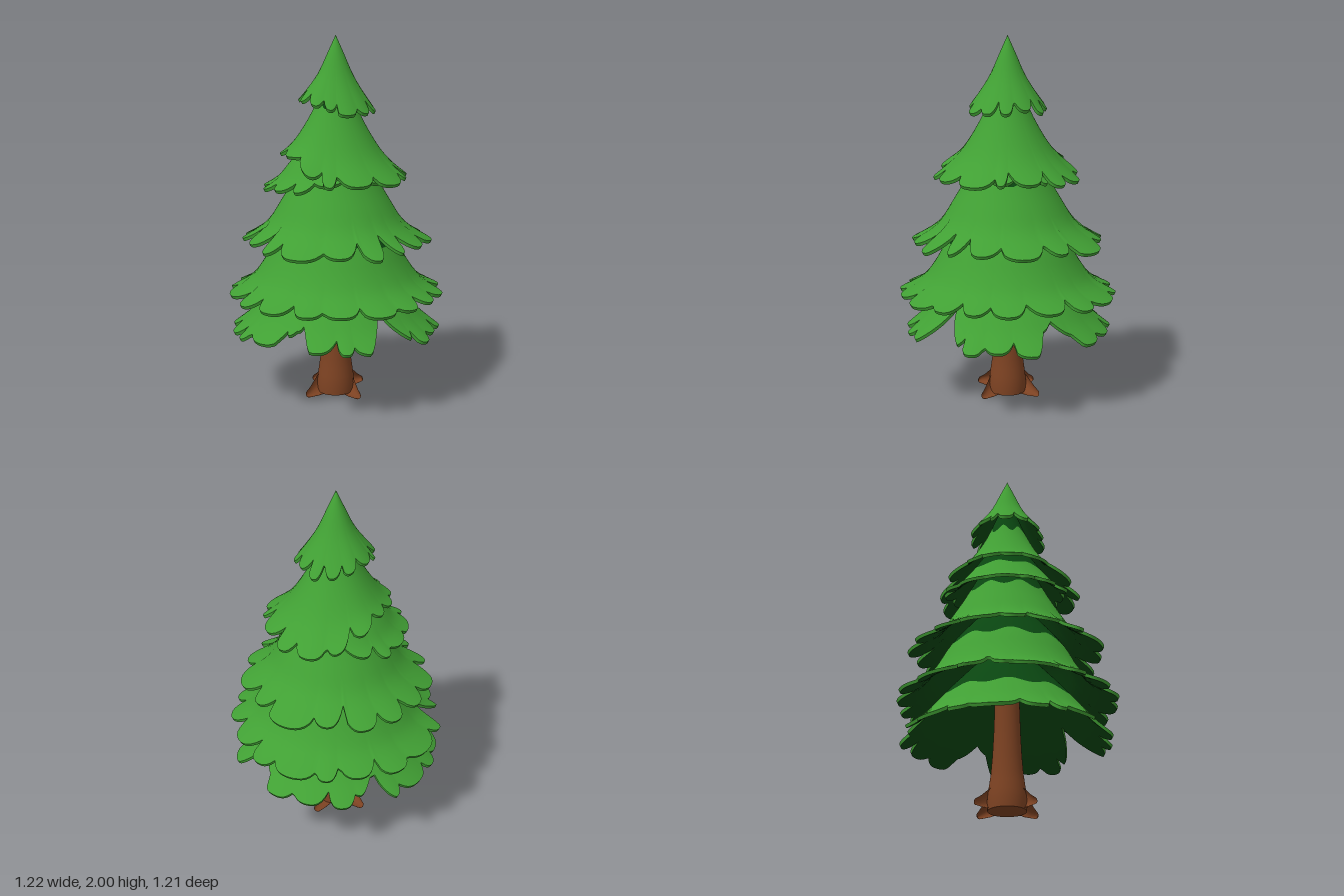
import * as THREE from 'three';

const TAU = Math.PI * 2;
const leaf = new THREE.MeshStandardMaterial({ name: 'leaf green', color: 0x41a034 });
const shade = new THREE.MeshStandardMaterial({ name: 'deep green', color: 0x0a4611 });
const bark = new THREE.MeshStandardMaterial({ name: 'bark brown', color: 0x7d4222 });

// Foliage tiers. profile: (radius, height) from the core out to the hem; dark: share of the
// top painted deep green; tilt / lift: shorten and raise the back left; tuck: shorten the
// front right; gaps: splits as [degrees from +x towards +z, depth, half width in degrees].
const tiers = [
  { name: 'crownTier', petals: 13, depth: 0.15, dark: 0, tilt: 0.07, lift: 0.04, tuck: 0, seed: 3, gaps: [],
    profile: [[0, 2], [0.045, 1.9], [0.093, 1.79], [0.15, 1.695], [0.225, 1.59]] },
  { name: 'upperTier', petals: 14, depth: 0.15, dark: 0.18, tilt: 0.22, lift: 0.08, tuck: 0, seed: 8, gaps: [],
    profile: [[0.06, 1.75], [0.13, 1.58], [0.22, 1.42], [0.3, 1.32], [0.41, 1.23]] },
  { name: 'shoulderTier', petals: 15, depth: 0.16, dark: 0.3, tilt: 0, lift: 0, tuck: 0.25, seed: 12, gaps: [],
    profile: [[0.12, 1.5], [0.2, 1.38], [0.26, 1.3], [0.32, 1.23], [0.4, 1.18]] },
  { name: 'middleTier', petals: 16, depth: 0.15, dark: 0.27, tilt: 0.03, lift: 0, tuck: 0, seed: 21, gaps: [[90, 0.1, 8]],
    profile: [[0.13, 1.42], [0.22, 1.24], [0.3, 1.1], [0.39, 0.97], [0.55, 0.87]] },
  { name: 'lowerTier', petals: 18, depth: 0.15, dark: 0.26, tilt: 0, lift: 0, tuck: 0, seed: 34, gaps: [[228, 0.22, 9]],
    profile: [[0.2, 1.05], [0.32, 0.9], [0.4, 0.76], [0.48, 0.66], [0.61, 0.59]] },
  { name: 'skirtTier', petals: 20, depth: 0.16, dark: 0.41, tilt: 0, lift: 0, tuck: 0, seed: 55,
    gaps: [[90, 0.42, 15], [14, 0.4, 15], [150, 0.25, 11], [292, 0.25, 11]],
    profile: [[0.2, 0.78], [0.3, 0.67], [0.4, 0.55], [0.48, 0.46], [0.58, 0.38]] },
];

function seeded(seed) {
  let s = seed * 7919 + 17;
  return () => (s = (s * 16807) % 2147483647) / 2147483647;
}

// Closed ring surface: point(i, j) gives [x, y, z], i runs around, j outwards.
function ringSurface(around, rows, point, flip = false) {
  const pos = [], index = [];
  for (let j = 0; j <= rows; j++)
    for (let i = 0; i < around; i++) pos.push(...point(i, j));
  for (let j = 0; j < rows; j++)
    for (let i = 0; i < around; i++) {
      const n = (i + 1) % around;
      const a = j * around + i, b = j * around + n, c = a + around, d = b + around;
      if (flip) index.push(a, c, b, b, c, d);
      else index.push(a, b, c, b, d, c);
    }
  const g = new THREE.BufferGeometry();
  g.setAttribute('position', new THREE.Float32BufferAttribute(pos, 3));
  g.setIndex(index);
  g.computeVertexNormals();
  return g;
}

function part(name, geometry, material) {
  const m = new THREE.Mesh(geometry, material);
  m.name = name;
  return m;
}

function makeTier({ name, petals, depth, dark, tilt, lift, tuck, gaps, seed, profile }) {
  const rand = seeded(seed);
  const per = 12, around = petals * per;
  const curve = new THREE.SplineCurve(profile.map(p => new THREE.Vector2(...p)));

  // Petal boundaries and lengths vary a little around the ring
  const starts = [], lengths = [], notches = [];
  for (let k = 0; k < petals; k++) {
    starts.push((k + (k ? (rand() - 0.5) * 0.65 : 0)) / petals * TAU + Math.PI / 2);
    lengths.push(1.02 - rand() * 0.09);
    notches.push(depth * (0.55 + rand() * 0.6));
  }
  starts.push(starts[0] + TAU);

  const columns = [];
  for (let i = 0; i < around; i++) {
    const k = Math.floor(i / per), f = (i % per) / per;
    const angle = starts[k] + (starts[k + 1] - starts[k]) * f;
    const u = Math.abs(2 * f - 1);
    const notch = f < 0.5 ? notches[k] : notches[(k + 1) % petals];
    let reach = lengths[k] - notch * Math.pow(u, 2.3);
    const back = THREE.MathUtils.smoothstep(-Math.cos(angle - Math.PI / 4), -0.2, 0.7);
    reach *= (1 - tilt * back) * (1 - tuck * (1 - back));
    // Deep splits between groups of branches
    for (const [degrees, cut, width] of gaps) {
      const d = THREE.MathUtils.radToDeg(angle) - degrees;
      const away = Math.abs(d - Math.round(d / 360) * 360);
      reach *= 1 - cut * Math.pow(Math.max(0, 1 - away / width), 0.9);
    }
    const band = dark + (dark > 0 ? 0.03 * Math.sin(angle * petals / 2 + seed) : 0);
    reach = Math.max(reach, dark + 0.06);
    columns.push({ angle, u, reach, band, rise: lift * back });
  }

  const at = (c, t, drop = 0) => {
    const p = curve.getPoint(Math.min(t, 1));
    const over = Math.max(0, t - 1);
    const r = Math.max(0, p.x + over * 0.45 - drop * 0.5);
    const y = p.y - over * 0.25 - drop + c.rise * t * t - 0.008 * c.u * c.u * t ** 4;
    return [r * Math.cos(c.angle), y, r * Math.sin(c.angle)];
  };
  const thick = 0.016, rows = 9;
  const group = new THREE.Group();
  group.name = name;

  group.add(part('needles', ringSurface(around, rows, (i, j) => {
    const c = columns[i];
    return at(c, c.band + (c.reach - c.band) * j / rows);
  }), leaf));
  group.add(part('hem', ringSurface(around, 1, (i, j) =>
    at(columns[i], columns[i].reach, j * thick)), leaf));
  group.add(part('underside', ringSurface(around, rows, (i, j) =>
    at(columns[i], columns[i].reach * j / rows, thick), true), shade));
  if (dark > 0) group.add(part('innerNeedles', ringSurface(around, 4, (i, j) =>
    at(columns[i], columns[i].band * j / 4)), shade));
  return group;
}

// Turned trunk with four tapering roots
function makeTrunk() {
  const group = new THREE.Group();
  group.name = 'trunk';
  const profile = [[0.103, 0], [0.105, 0.05], [0.1, 0.1], [0.093, 0.15], [0.086, 0.2],
    [0.078, 0.3], [0.072, 0.42], [0.068, 0.55], [0.062, 0.9]];
  group.add(part('stem', new THREE.LatheGeometry(profile.map(p => new THREE.Vector2(...p)), 40), bark));
  const base = new THREE.CircleGeometry(0.103, 40).rotateX(Math.PI / 2);
  group.add(part('stemBase', base, bark));

  // Root rings follow a drooping centre line, rounded off at the tip
  const line = new THREE.SplineCurve([[0.05, 0.075], [0.11, 0.052], [0.165, 0.026], [0.215, 0.013]]
    .map(p => new THREE.Vector2(...p)));
  const sides = 14, rows = 10;
  for (const degrees of [-10, 86, 174, 268]) {
    const root = ringSurface(sides, rows, (i, j) => {
      const t = j / rows, p = line.getPoint(t), a = i / sides * TAU;
      const r = j === rows ? 0 : 0.062 * (1 - t) + 0.012;
      return [p.x, Math.max(0, p.y + r * Math.cos(a)), r * Math.sin(a)];
    }, true);
    root.rotateY(-THREE.MathUtils.degToRad(degrees));
    group.add(part('root', root, bark));
  }
  return group;
}

export function createModel() {
  const tree = new THREE.Group();
  tree.name = 'firTree';
  tree.add(makeTrunk());
  for (const t of tiers) tree.add(makeTier(t));
  return tree;
}
